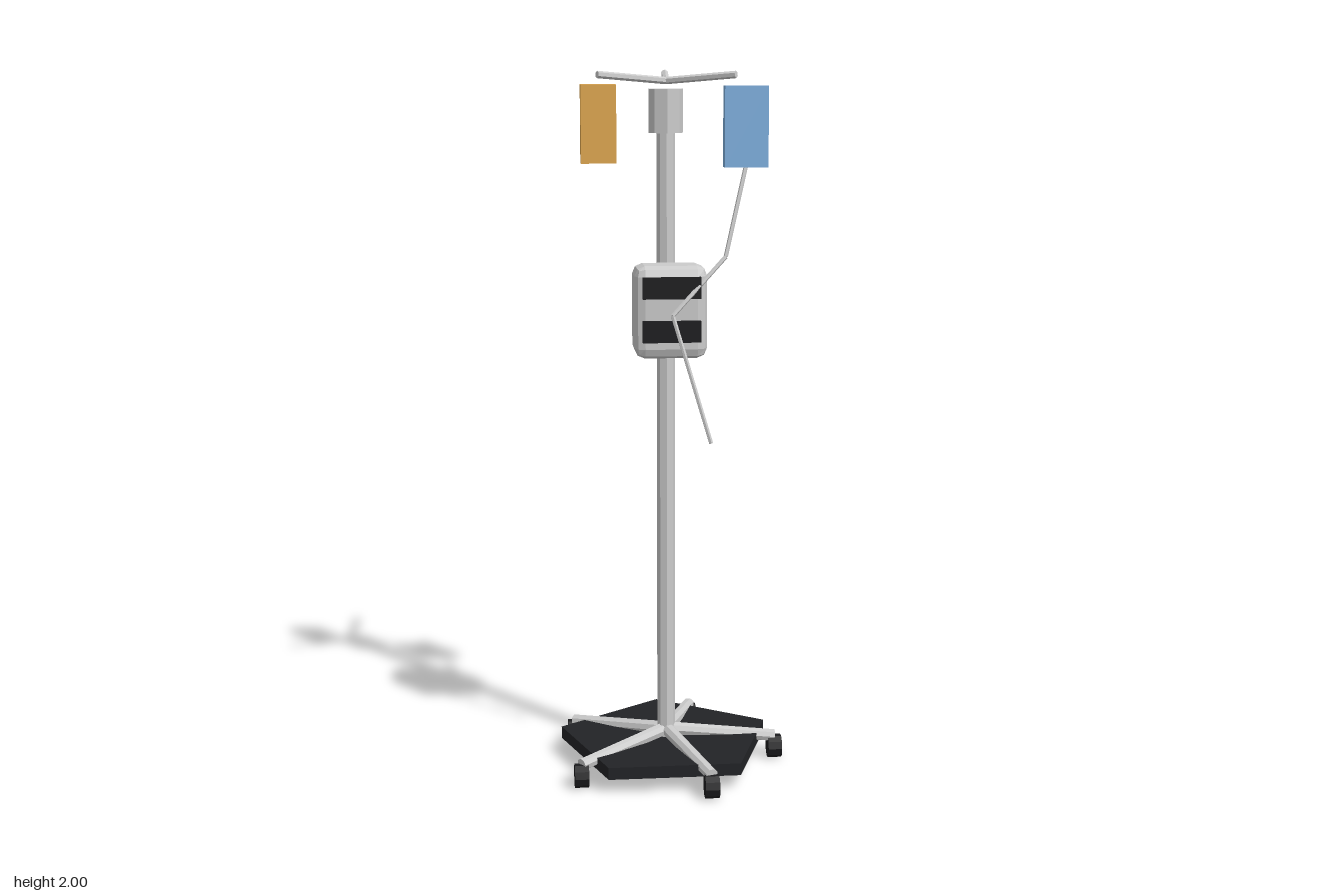
import * as THREE from 'three';
import { RoundedBoxGeometry } from 'three/addons/geometries/RoundedBoxGeometry.js';

const mat = (color) => new THREE.MeshStandardMaterial({ color, flatShading: true });
const grey = mat(0xcccccc);
const black = mat(0x222326);
const rubber = mat(0x1c1c1e);
const blue = mat(0x7fb0e0);
const amber = mat(0xe0a850);
const POLE_X = -0.02;

export function createModel() {
  const model = new THREE.Group();
  model.name = 'dripStand';

  const add = (name, geometry, material, x, y, z) => {
    const mesh = new THREE.Mesh(geometry, material);
    mesh.name = name;
    mesh.position.set(x, y, z);
    model.add(mesh);
    return mesh;
  };

  // Straight rod between two points
  const rod = (name, a, b, r1, r2, sides) => {
    const from = new THREE.Vector3(...a);
    const dir = new THREE.Vector3(...b).sub(from);
    const mesh = add(name, new THREE.CylinderGeometry(r2, r1, dir.length(), sides), grey, 0, 0, 0);
    mesh.position.copy(from).addScaledVector(dir, 0.5);
    mesh.quaternion.setFromUnitVectors(new THREE.Vector3(0, 1, 0), dir.normalize());
    return mesh;
  };

  // Five-sided base plate, one corner to the back
  const plate = new THREE.CylinderGeometry(0.318, 0.318, 0.035, 5);
  plate.rotateY(Math.PI);
  add('basePlate', plate, black, POLE_X, 0.062, 0);

  // Sloping legs and their casters, all wheels rolling along z
  const wheel = new THREE.CylinderGeometry(0.034, 0.034, 0.04, 10);
  wheel.rotateZ(Math.PI / 2);
  for (let i = 0; i < 5; i++) {
    const a = (i * Math.PI * 2) / 5;
    const c = Math.cos(a), s = Math.sin(a);
    rod('leg', [POLE_X, 0.1, 0], [POLE_X + 0.32 * c, 0.066, 0.32 * s], 0.02, 0.018, 8);
    add('caster', wheel, rubber, POLE_X + 0.32 * c, 0.034, 0.32 * s);
  }

  // Pole and collar
  add('pole', new THREE.CylinderGeometry(0.026, 0.026, 1.77, 8), grey, POLE_X, 0.965, 0);
  add('collar', new THREE.CylinderGeometry(0.048, 0.048, 0.12, 8), grey, POLE_X, 1.89, 0);

  // Hook arms at the top
  for (const end of [[0.16, 1.99, 0.118], [-0.215, 1.99, 0.088], [-0.002, 1.99, -0.218]])
    rod('hookArm', [POLE_X, 1.972, 0], end, 0.01, 0.01, 6);

  // Fluid bags
  add('blueBag', new THREE.BoxGeometry(0.12, 0.22, 0.04), blue, 0.19, 1.85, 0.1);
  add('amberBag', new THREE.BoxGeometry(0.1, 0.22, 0.04), amber, -0.2, 1.85, -0.12);

  // Pump with two dark display strips
  add('pump', new RoundedBoxGeometry(0.2, 0.255, 0.14, 1, 0.028), grey, POLE_X, 1.348, 0.1);
  for (const y of [1.298, 1.418])
    add('display', new THREE.BoxGeometry(0.16, 0.06, 0.02), rubber, POLE_X, y, 0.168);

  // Bent drip line
  const line = [[0.19, 1.74, 0.1], [0.13, 1.5, 0.15], [-0.02, 1.345, 0.197], [0.08, 1.0, 0.25]];
  for (let i = 0; i < 3; i++) rod('dripLine', line[i], line[i + 1], 0.006, 0.006, 6);

  return model;
}
